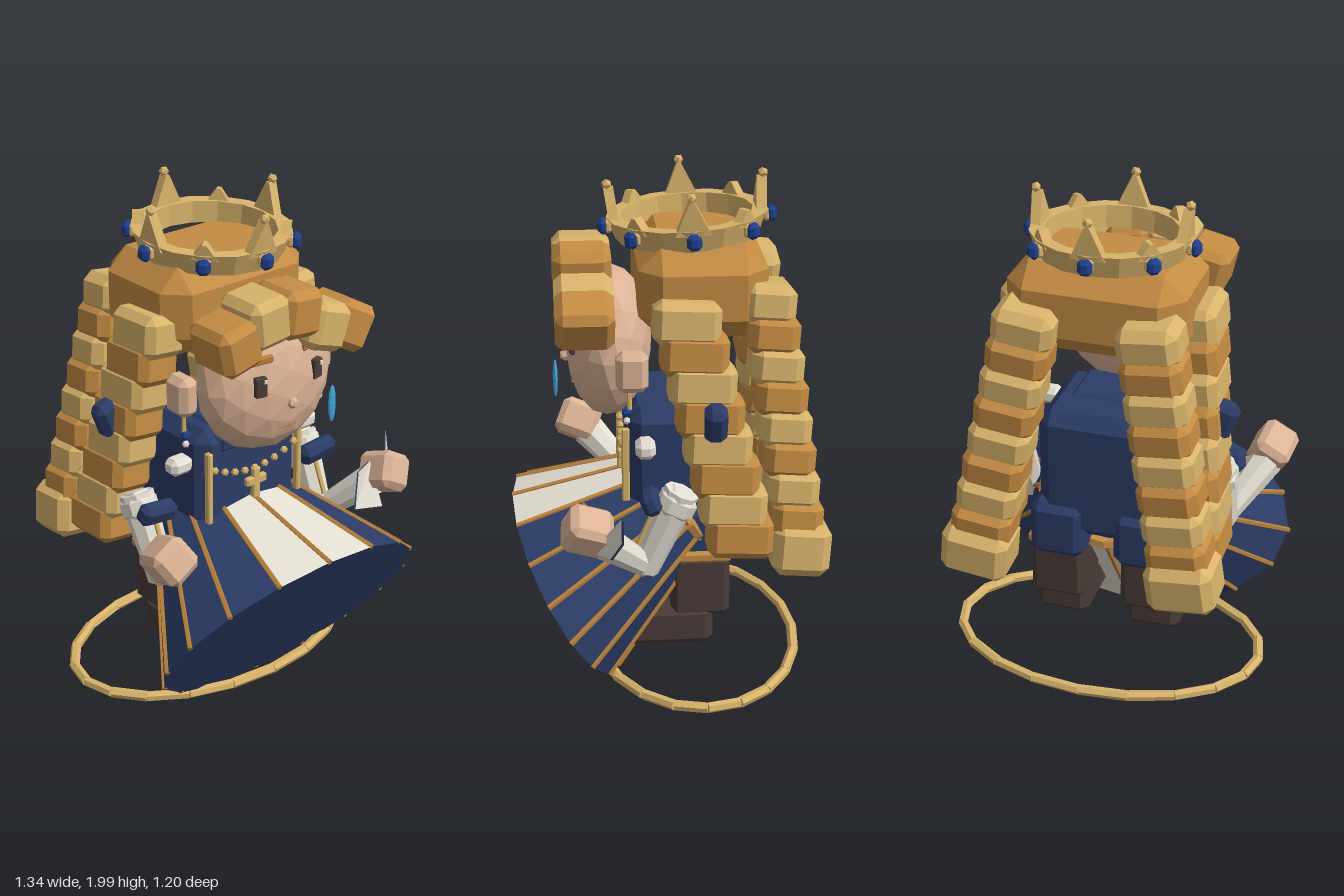
import * as THREE from 'three';
import { ConvexGeometry } from 'three/addons/geometries/ConvexGeometry.js';

const mat = (name, color) => {
  const m = new THREE.MeshStandardMaterial({ color, flatShading: true, side: THREE.DoubleSide });
  m.name = name;
  return m;
};

// box with one flat bevel along every edge
function bevelBox(w, h, d, bevel) {
  const b = Math.min(bevel, Math.min(w, h, d) / 2.5), pts = [];
  for (const sx of [-1, 1]) for (const sy of [-1, 1]) for (const sz of [-1, 1])
    for (let k = 0; k < 3; k++) {
      const cut = [b, b, b];
      cut[k] = 0;
      pts.push(new THREE.Vector3(sx * (w / 2 - cut[0]), sy * (h / 2 - cut[1]), sz * (d / 2 - cut[2])));
    }
  return new ConvexGeometry(pts);
}

// four-cornered sheet
function quad(...pts) {
  const g = new THREE.BufferGeometry();
  g.setAttribute('position', new THREE.Float32BufferAttribute(pts.flat(), 3));
  g.setIndex([0, 1, 2, 0, 2, 3]);
  g.computeVertexNormals();
  return g;
}

export function createModel() {
  const hairDark = mat('dark blond', 0xc48c44), hairLight = mat('light gold', 0xd8b36b);
  const skin = mat('skin', 0xdcb396), cream = mat('cream', 0xe4dfd3);
  const navy = mat('navy', 0x2b3c66), brown = mat('dark brown', 0x4a3c38);
  const gemBlue = mat('gem blue', 0x1f3f8c), tearBlue = mat('tear blue', 0x3da5d9);
  const trim = mat('bronze trim', 0xb67f3a);

  const model = new THREE.Group();
  const root = new THREE.Group(); // the figure stands slightly off centre
  root.name = 'figure';
  root.position.x = -0.03;
  model.add(root);

  const add = (name, geo, material, pos = [0, 0, 0], rot = [0, 0, 0], parent = root) => {
    const m = new THREE.Mesh(geo, material);
    m.name = name;
    m.position.set(...pos);
    m.rotation.set(...rot);
    parent.add(m);
    return m;
  };
  const block = (name, size, material, pos, rot, bevel = 0.025, parent = root) =>
    add(name, bevelBox(...size, bevel), material, pos, rot, parent);
  // tapered rod between two points
  const rod = (name, a, b, r0, r1, material, sides = 6, parent = root) => {
    const p = new THREE.Vector3(...a), q = new THREE.Vector3(...b), d = q.clone().sub(p);
    const m = add(name, new THREE.CylinderGeometry(r1, r0, d.length(), sides), material, [0, 0, 0], [0, 0, 0], parent);
    m.position.copy(p.add(q).multiplyScalar(0.5));
    m.quaternion.setFromUnitVectors(new THREE.Vector3(0, 1, 0), d.normalize());
    return m;
  };
  const ball = (name, r, material, pos, parent = root) =>
    add(name, new THREE.IcosahedronGeometry(r, 0), material, pos, [0, 0, 0], parent);
  const lerp = THREE.MathUtils.lerp;

  // hoop on the ground
  const hoopPoint = (i) => {
    const a = (i / 20) * Math.PI * 2;
    return [0.625 * Math.sin(a), 0.057, -0.125 + 0.405 * Math.cos(a)];
  };
  for (let i = 0; i < 20; i++) rod('groundHoop', hoopPoint(i), hoopPoint(i + 1), 0.021, 0.021, hairLight);

  // tilted bell skirt: panels, ribs, closed hem and belt
  const skirt = new THREE.Group();
  skirt.name = 'skirt';
  skirt.position.set(0, 0.35, 0.39);
  skirt.rotation.x = -1.018;
  root.add(skirt);
  const N = 16;
  const skirtPoint = (i, t) => { // t runs from hem to waist
    const a = (i / N) * Math.PI * 2, r = lerp(0.62, 0.29, t);
    return [r * Math.sin(a), 0.57 * t, r * 0.64 * Math.cos(a) + 0.03 * t];
  };
  for (let i = 0; i < N; i++) {
    const a = skirtPoint(i, 0), b = skirtPoint(i + 1, 0), c = skirtPoint(i + 1, 1), d = skirtPoint(i, 1);
    add('skirtPanel', quad(a, b, c, d), [0, 7, 8, 15].includes(i) ? cream : navy, [0, 0, 0], [0, 0, 0], skirt);
    rod('skirtRib', a, d, 0.011, 0.011, trim, 5, skirt);
    rod('belt', d, c, 0.024, 0.024, hairDark, 5, skirt);
  }
  const hem = new THREE.CircleGeometry(0.62, N);
  hem.rotateX(Math.PI / 2);
  hem.scale(1, 1, 0.64);
  add('skirtHem', hem, navy, [0, 0, 0], [0, 0, 0], skirt);

  // torso with trim, beads and cross
  block('torso', [0.5, 0.54, 0.42], navy, [0, 0.85, -0.06], [0, 0, 0], 0.05);
  block('collar', [0.4, 0.14, 0.3], navy, [0, 1.06, 0.01], [0, 0, 0], 0.05);
  for (const s of [-1, 1]) block('coatTrim', [0.024, 0.3, 0.03], hairLight, [s * 0.225, 0.9, 0.16], [0, 0, 0], 0.005);
  for (let i = 0; i <= 8; i++) {
    const t = i / 4 - 1;
    ball('necklaceBead', 0.016, hairLight, [t * 0.2, 0.92 + 0.05 * t * t, 0.165]);
  }
  block('crossUpright', [0.035, 0.13, 0.025], hairLight, [0, 0.86, 0.17], [0, 0, 0], 0.005);
  block('crossBar', [0.1, 0.035, 0.025], hairLight, [0, 0.87, 0.17], [0, 0, 0], 0.005);

  // head and face
  const headGeo = new THREE.IcosahedronGeometry(1, 2);
  headGeo.scale(0.3, 0.29, 0.165);
  add('head', headGeo, skin, [0, 1.33, 0.21], [-0.06, 0, 0]);
  ball('nose', 0.024, skin, [0, 1.27, 0.378]);
  block('mouth', [0.08, 0.006, 0.008], trim, [0, 1.172, 0.352], [0, 0, 0], 0.002);
  for (const s of [-1, 1]) {
    block('eye', [0.048, 0.078, 0.03], brown, [s * 0.137, 1.365, 0.35], [0, s * 0.2, 0], 0.004);
    block('eyeGlint', [0.013, 0.018, 0.008], cream, [s * 0.137 + 0.013, 1.387, 0.366], [0, s * 0.2, 0], 0.002);
    block('eyebrow', [0.135, 0.028, 0.03], trim, [s * 0.137, 1.457, 0.325], [0, s * 0.25, -s * 0.08], 0.005);
    block('ear', [0.085, 0.155, 0.12], skin, [s * 0.335, 1.32, 0.14], [0, 0, 0], 0.025);
    rod('earringLink', [s * 0.335, 1.24, 0.15], [s * 0.335, 1.17, 0.15], 0.009, 0.009, hairLight);
    ball('earringGem', 0.02, gemBlue, [s * 0.335, 1.16, 0.16]);
    ball('earringDrop', 0.015, cream, [s * 0.335, 1.125, 0.16]);
  }
  const tearGeo = new THREE.SphereGeometry(1, 10, 6);
  tearGeo.scale(0.018, 0.077, 0.01);
  add('tear', tearGeo, tearBlue, [0.158, 1.235, 0.42]);

  // fringe of blocks: x, y, tilt
  [[-0.265, 1.56, 0.22], [-0.125, 1.625, 0.1], [0.03, 1.62, -0.1], [0.165, 1.533, -0.32], [0.285, 1.505, -0.5]]
    .forEach(([x, y, tilt], i) =>
      block('fringe', [0.18, 0.185, 0.22], i % 2 ? hairLight : hairDark, [x, y, 0.31], [0, 0, tilt], 0.03));

  // hair cap below the crown
  block('hairCap', [0.68, 0.345, 0.48], hairDark, [0, 1.592, -0.13], [0, 0, 0], 0.085);

  // crown
  const crown = new THREE.Group();
  crown.name = 'crown';
  crown.position.set(0, 1.8, -0.09);
  crown.rotation.x = 0.06;
  root.add(crown);
  const band = [[0.245, -0.05], [0.275, -0.05], [0.305, 0.035], [0.25, 0.035], [0.245, -0.05]];
  add('crownBand', new THREE.LatheGeometry(band.map((v) => new THREE.Vector2(...v)), 16), hairLight,
    [0, 0, 0], [0, 0, 0], crown);
  for (let i = 0; i < 8; i++) {
    const side = new THREE.Group();
    side.name = 'crownSide';
    side.rotation.y = (i * Math.PI) / 4;
    crown.add(side);
    const tall = i % 2 === 0, h = tall ? 0.13 : 0.06, w = tall ? 0.066 : 0.05;
    const tri = new THREE.Shape([[-w, 0], [w, 0], [0.008, h], [-0.008, h]].map((v) => new THREE.Vector2(...v)));
    add('crownPoint', new THREE.ExtrudeGeometry(tri, { depth: 0.038, bevelEnabled: false }), hairLight,
      [0, 0.02, 0.256], [0.1, 0, 0], side);
    if (tall) ball('crownBall', 0.02, hairLight, [0, 0.158, 0.293], side);
    block('crownSetting', [0.05, 0.05, 0.03], hairLight, [0, 0, 0.298], [0, 0, 0], 0.01, side);
    block('crownGem', [0.055, 0.06, 0.04], gemBlue, [0, 0, 0.318], [0, 0, 0], 0.015, side);
  }

  // handkerchief in the left hand, pale in front and lined behind
  const cloth = (name, ...pts) => {
    for (const [material, z] of [[cream, 0], [navy, -0.008]])
      add(name, quad(...pts), material, [0, z * 0.5, z]);
  };
  cloth('handkerchief', [0.36, 0.69, 0.36], [0.5, 0.66, 0.37], [0.49, 0.84, 0.3], [0.4, 0.83, 0.33]);
  cloth('handkerchiefTip', [0.57, 0.7, 0.31], [0.65, 0.71, 0.24], [0.69, 0.79, 0.2], [0.675, 0.88, 0.2]);

  // parts that come in pairs
  for (const s of [-1, 1]) {
    // back curls, ending in a larger block
    for (let i = 0; i < 9; i++) {
      const t = i / 8, last = i === 8, k = last ? 1.12 : 1;
      block('backCurl', [0.235 * k, last ? 0.2 : 0.155, 0.195 * k], i % 2 ? hairDark : hairLight,
        [s * lerp(0.235, 0.405, t), lerp(1.55, 0.635, t), lerp(-0.37, -0.485, t)], [-0.08, 0, s * 0.12], 0.035);
    }
    // side curls
    for (let i = 0; i < 8; i++) {
      const t = i / 7;
      block('sideCurl', [0.18, 0.165, 0.25], i % 2 ? hairDark : hairLight,
        [s * lerp(0.33, 0.415, t), lerp(1.51, 0.69, t), lerp(-0.06, -0.26, t)], [-0.05, 0, s * 0.1], 0.03);
    }
    block('hairBow', [0.1, 0.15, 0.085], navy, [s * 0.455, 1.155, -0.16], [0, 0, -s * 0.35], 0.025);

    // arms
    block('shoulderPuff', [0.1, 0.07, 0.075], cream, [s * 0.315, 1.005, 0.09], [0, 0, 0], 0.02);
    block('upperSleeve', [0.13, 0.12, 0.14], cream, [s * 0.42, 0.82, -0.02], [-0.45, 0, 0], 0.035);
    rod('upperArm', [s * 0.42, 0.87, -0.04], [s * 0.41, 0.55, 0.1], 0.068, 0.055, cream, 8);
    rod('sleeveTrim', [s * 0.41, 0.8, 0.06], [s * 0.41, 0.65, 0.125], 0.01, 0.01, hairLight);
    block('sleeveBand', [0.165, 0.085, 0.07], navy, [s * 0.41, 0.83, 0.075], [0.4, 0, s * 0.15], 0.02);
    rod('forearm', [s * 0.41, 0.56, 0.09], [s * 0.535, 0.74, 0.28], 0.045, 0.07, cream, 8);
    block('hand', [0.15, 0.15, 0.17], skin, [s * 0.55, 0.78, 0.32], [-0.35, s * 0.15, -s * 0.5], 0.025);

    // legs
    block('thigh', [0.22, 0.24, 0.25], navy, [s * 0.17, 0.61, -0.17], [0, 0, 0], 0.035);
    block('bootCuff', [0.235, 0.04, 0.225], hairDark, [s * 0.185, 0.53, -0.13], [0, 0, 0], 0.008);
    block('bootShaft', [0.22, 0.26, 0.23], brown, [s * 0.185, 0.4, -0.125], [0, 0, 0], 0.025);
    block('bootFoot', [0.22, 0.165, 0.34], brown, [s * 0.19, 0.23, -0.005], [0, 0, 0], 0.03);
  }
  return model;
}
